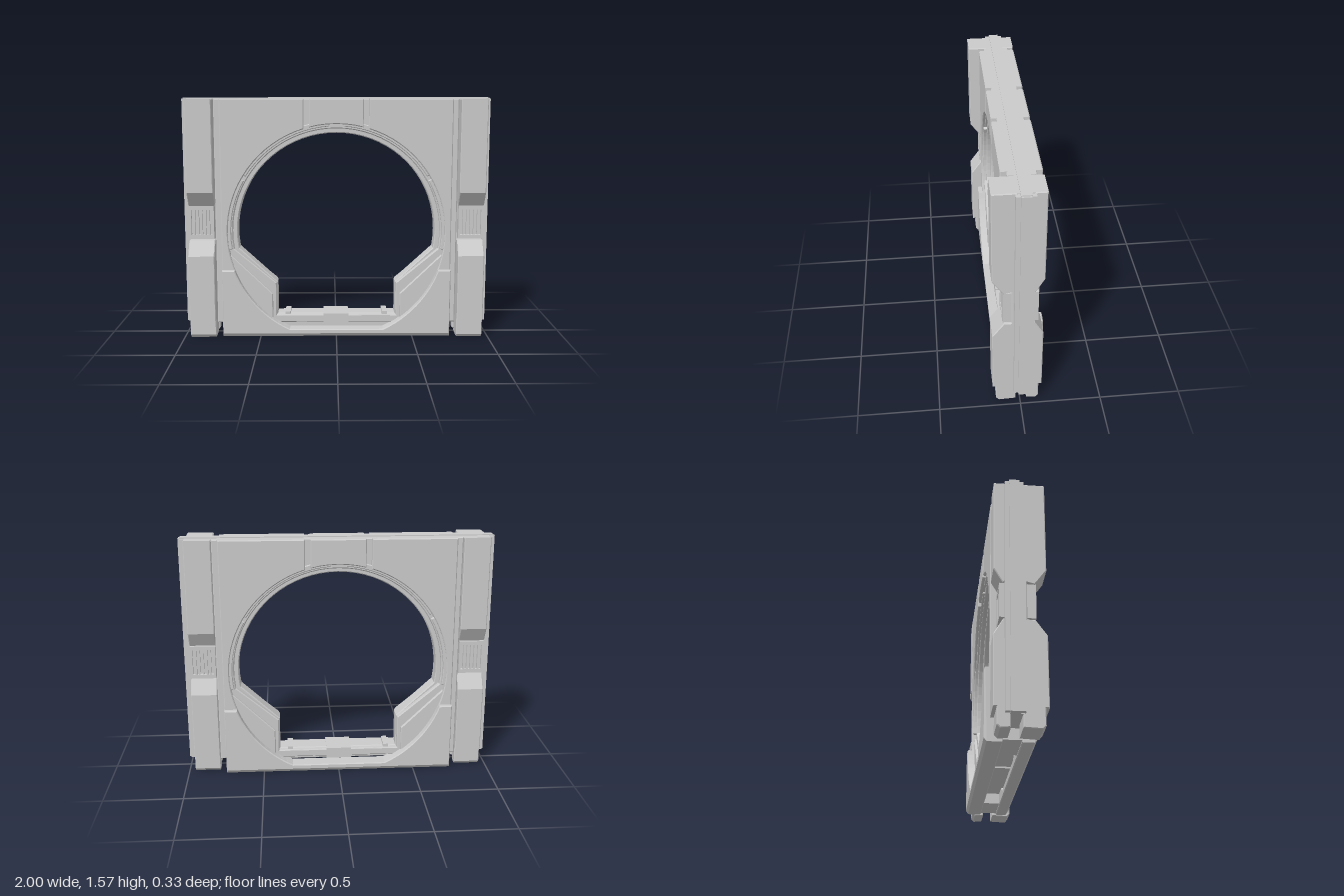
import * as THREE from 'three';

const CY = 0.69; // centre height of the round opening
const TOP = 1.56;

export function createModel() {
  const root = new THREE.Group();
  root.name = 'gatewayWall';
  const mat = new THREE.MeshStandardMaterial({ color: 0xcccccc, flatShading: true });

  const add = (name, geo) => {
    const m = new THREE.Mesh(geo, mat);
    m.name = name;
    root.add(m);
    return m;
  };
  const box = (name, x0, x1, y0, y1, z0, z1) => {
    const g = new THREE.BoxGeometry(Math.abs(x1 - x0), y1 - y0, Math.abs(z1 - z0));
    g.translate((x0 + x1) / 2, (y0 + y1) / 2, (z0 + z1) / 2);
    return add(name, g);
  };
  const toShape = (pts) => new THREE.Shape(pts.map(([x, y]) => new THREE.Vector2(x, y)));
  // Bevelled plate between two depths, keeping its outline size
  const plateGeo = (shape, z0, z1, b = 0.006) => {
    const g = new THREE.ExtrudeGeometry(shape, {
      depth: z1 - z0 - 2 * b, bevelEnabled: b > 0, bevelSize: b,
      bevelThickness: b, bevelOffset: -b, bevelSegments: 1,
    });
    return g.translate(0, 0, z0 + b);
  };
  const arc = (r, a0, a1, n) => Array.from({ length: n + 1 }, (_, i) => {
    const a = a0 + ((a1 - a0) * i) / n;
    return [r * Math.cos(a), CY + r * Math.sin(a)];
  });
  const flip = (pts, s) => pts.map(([x, y]) => [s * x, y]);
  const angleAt = (r, y) => Math.asin((y - CY) / r);

  // Opening outline: round top, slanted corners, flat floor
  const opening = (r, side, floor) => {
    const a = angleAt(r, 0.58);
    return [[side, floor], [side, 0.35], ...arc(r, a, Math.PI - a, 40), [-side, 0.35], [-side, floor]];
  };
  const slab = (halfW, r, side, floor) => {
    const s = toShape([[-halfW, 0.08], [halfW, 0.08], [halfW, TOP], [-halfW, TOP]]);
    s.holes.push(new THREE.Path(opening(r, side, floor).map(([x, y]) => new THREE.Vector2(x, y))));
    return s;
  };

  // Core slabs, stepped towards the opening
  add('innerCore', plateGeo(slab(0.96, 0.65, 0.39, 0.135), -0.068, 0.036));
  add('outerCore', plateGeo(slab(0.79, 0.68, 0.396, 0.13), -0.1, 0.065));
  box('topRidge', -0.99, 0.99, TOP - 0.02, TOP + 0.006, -0.047, 0.013);

  // Face panels on both sides, split by two grooves above the opening
  const R = 0.71;
  const lowA = angleAt(R, 0.05);
  const sidePanel = [
    [0.21, TOP], [0.75, TOP], [0.75, 0.01], [-0.01, 0.01], [-0.01, 0.05],
    ...arc(R, lowA, Math.acos(0.21 / R), 30),
  ];
  const midPanel = [
    [-0.175, TOP], [0.175, TOP],
    ...arc(R, Math.acos(0.175 / R), Math.PI - Math.acos(0.175 / R), 6),
  ];
  const lowerRight = [[0.75, 0], [0.75, 0.445], ...arc(R, angleAt(R, 0.445), lowA, 12)];
  const lowerPanel = [...lowerRight, ...flip(lowerRight, -1).reverse()];

  const faces = [
    { side: 'front', f: 1, inner: 0.045, panel: 0.1, lower: 0.13, foot: 0.148, pillar: 0.168, waist: 0.1, pinch: 0.055, vent: 0.107 },
    { side: 'back', f: -1, inner: 0.06, panel: 0.135, lower: 0.165, foot: 0.115, pillar: 0.135, waist: 0.08, pinch: 0.072, vent: 0.102 },
  ];

  for (const d of faces) {
    const { side, f } = d;
    const layer = (name, pts, inner, outer, b) => add(name,
      plateGeo(toShape(pts), f > 0 ? inner : -outer, f > 0 ? outer : -inner, b));

    layer(`${side}KeystonePanel`, midPanel, d.inner, d.panel);
    const low = layer(`${side}LowerPanel`, lowerPanel, d.inner, d.lower);
    // Chamfer the outer bottom edge
    const p = low.geometry.attributes.position;
    for (let i = 0; i < p.count; i++) {
      if (p.getY(i) < 0.01 && Math.abs(p.getZ(i)) > d.lower - 0.002) p.setY(i, 0.022);
      else if (p.getY(i) < 0.01 && Math.abs(p.getZ(i)) > d.lower - 0.01) p.setZ(i, f * (d.lower - 0.016));
    }
    low.geometry.computeVertexNormals();

    for (const s of [1, -1]) {
      const hand = s > 0 ? 'Left' : 'Right';
      layer(`${side}${hand}Panel`, flip(sidePanel, s), d.inner, d.panel);

      // Corner gusset plate and ring liner beside the opening
      layer(`${side}${hand}Gusset`,
        flip([[0.69, 0.54], [0.42, 0.28], [0.42, 0.1], [0.5, 0.1], [0.74, 0.42], [0.74, 0.54]], s),
        d.inner, d.panel - 0.018);
      layer(`${side}${hand}RingLiner`,
        flip([...arc(0.69, -0.16, 0.52, 10), ...arc(0.73, 0.52, -0.16, 10)], s), d.inner, d.panel - 0.012, 0.004);
      layer(`${side}${hand}UpperLiner`,
        flip([...arc(0.695, 0.56, 1.5, 12), ...arc(0.73, 1.5, 0.56, 12)], s), d.inner, d.panel - 0.02, 0.004);

      // Pillar: side profile with a narrow waist, swept across its width
      const profile = [
        [d.inner - 0.02, 0.005], [d.foot - 0.018, 0], [d.foot, 0.02], [d.foot, 0.12],
        [d.pillar, 0.12], [d.pillar, 0.55], [d.waist, 0.645], [d.pinch, 0.645],
        [d.pinch, 0.882], [d.waist, 0.87], [d.pillar, 0.965], [d.pillar, TOP], [d.inner - 0.02, TOP],
      ];
      const g = plateGeo(toShape(flip(profile, f)), 0, 0.17, 0.005);
      g.rotateY(-Math.PI / 2).translate(s > 0 ? 0.96 : -0.79, 0, 0);
      add(`${side}${hand}Pillar`, g);

      // Vent at the waist: recessed back, frame and upright fins
      const v = (name, x0, x1, y0, y1, z) =>
        box(`${side}${hand}${name}`, s * x0, s * x1, y0, y1, f * 0.02, f * z);
      v('VentBack', 0.797, 0.953, 0.66, 0.865, d.vent - 0.022);
      v('VentSill', 0.795, 0.955, 0.655, 0.68, d.vent);
      v('VentHead', 0.795, 0.955, 0.847, 0.872, d.vent);
      v('VentInnerPost', 0.795, 0.808, 0.68, 0.847, d.vent);
      v('VentOuterPost', 0.942, 0.955, 0.68, 0.847, d.vent);
      for (let i = 0; i < 5; i++) {
        const x = 0.823 + i * 0.0235;
        v('VentFin', x, x + 0.011, 0.675, 0.85, d.vent - 0.003);
      }
    }
  }

  for (const s of [1, -1]) {
    const hand = s > 0 ? 'left' : 'right';
    // Edge rail with a raised tongue, and infill under the core
    box(`${hand}Rail`, s * 0.94, s * 0.988, 0.085, TOP - 0.004, -0.072, 0.04);
    box(`${hand}RailTongue`, s * 0.94, s, 0.08, TOP, -0.045, 0.013);
    box(`${hand}BaseBlock`, s * 0.5, s * 0.75, 0.012, 0.1, -0.08, 0.05);
    // Floor clips on the threshold
    box(`${hand}FloorClip`, s * 0.305, s * 0.34, 0.12, 0.15, -0.085, 0.05);
    box(`${hand}SillStrip`, s * 0.08, s * 0.36, 0.1, 0.128, -0.108, 0.073);
  }
  box('thresholdBlock', -0.085, 0.08, 0.07, 0.14, -0.108, 0.073);

  return root;
}
